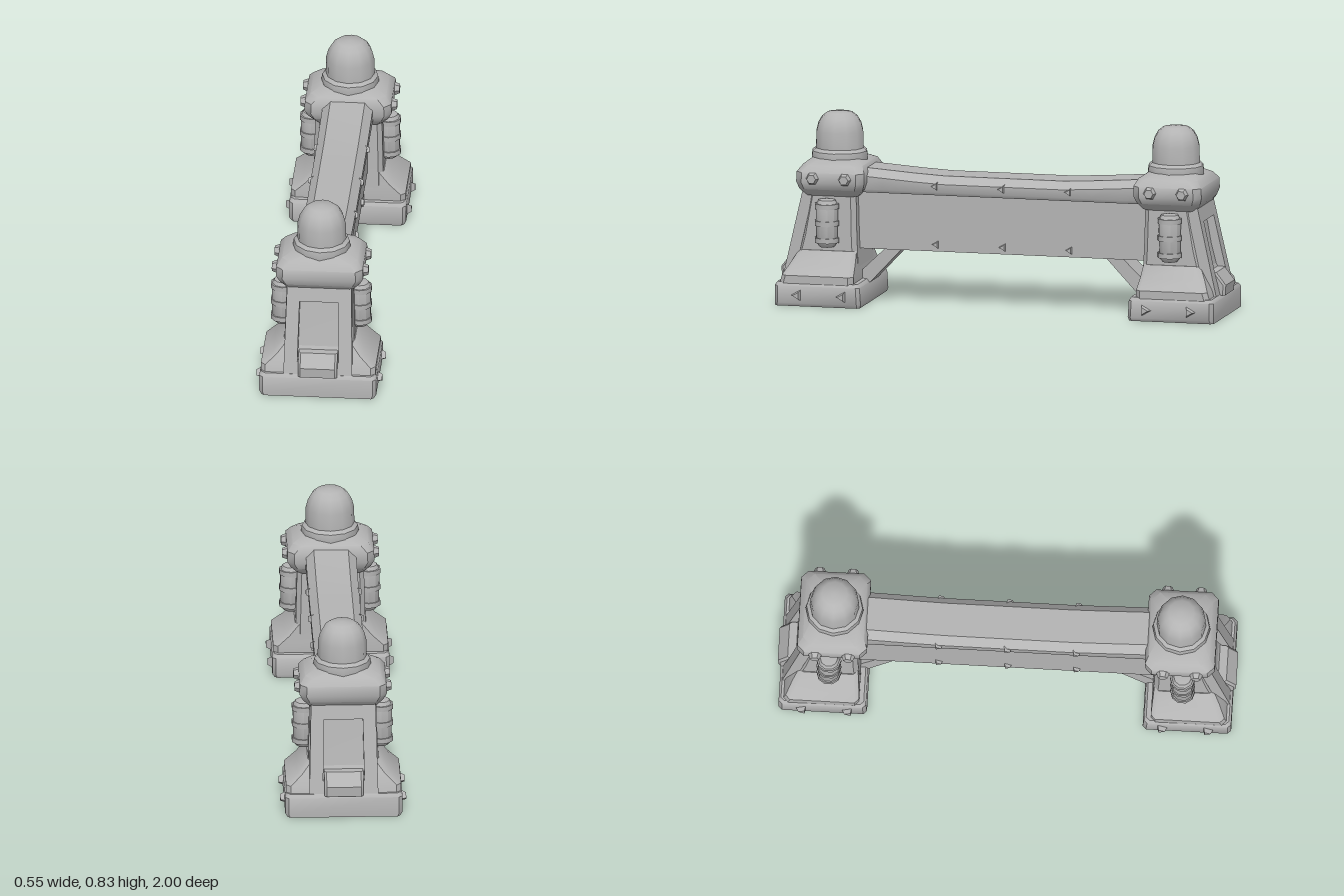
import * as THREE from 'three';
import { toCreasedNormals } from 'three/addons/utils/BufferGeometryUtils.js';

const stone = new THREE.MeshStandardMaterial({ color: 0xb4b4b4 });
stone.name = 'grey stone';

function part(name, geometry, parent, crease = 0.65) {
  const mesh = new THREE.Mesh(toCreasedNormals(geometry, crease), stone);
  mesh.name = name;
  parent.add(mesh);
  return mesh;
}

// Closed loft through chamfered rectangles: [y, half width, back z, front z, corner cut]
function loft(sections) {
  const pos = [];
  const rings = sections.map(([y, w, b, f, c]) => [
    [w, b + c], [w, f - c], [w - c, f], [c - w, f],
    [-w, f - c], [-w, b + c], [c - w, b], [w - c, b],
  ].map(([x, z]) => [x, y, z]));
  const tri = (...p) => p.forEach((v) => pos.push(...v));
  for (let i = 0; i < rings.length - 1; i++) {
    for (let j = 0; j < 8; j++) {
      const k = (j + 1) % 8, lo = rings[i], hi = rings[i + 1];
      tri(lo[j], hi[j], lo[k]);
      tri(lo[k], hi[j], hi[k]);
    }
  }
  const end = rings[rings.length - 1];
  for (let j = 1; j < 7; j++) {
    tri(end[0], end[j + 1], end[j]);
    tri(rings[0][0], rings[0][j], rings[0][j + 1]);
  }
  const g = new THREE.BufferGeometry();
  g.setAttribute('position', new THREE.Float32BufferAttribute(pos, 3));
  return g;
}

// Small faceted stud pointing sideways
function stud(parent, x, y, z, r = 0.025, depth = 0.03, sides = 3) {
  const m = part('stud', new THREE.CylinderGeometry(r * 0.6, r, depth, sides), parent, 0.2);
  m.rotation.z = -Math.sign(x) * Math.PI / 2;
  m.position.set(x, y, z);
}

function polygon(points) {
  return new THREE.Shape(points.map(([x, y]) => new THREE.Vector2(x, y)));
}

function createPost() {
  const post = new THREE.Group();
  post.name = 'endPost';

  part('base', loft([
    [0, 0.245, 0.605, 0.985, 0.012], [0.015, 0.255, 0.6, 0.985, 0.015],
    [0.09, 0.255, 0.605, 0.985, 0.015], [0.105, 0.245, 0.615, 0.975, 0.015],
  ]), post);
  part('flaredFoot', loft([
    [0.1, 0.25, 0.635, 0.965, 0.02], [0.135, 0.25, 0.635, 0.955, 0.02],
    [0.18, 0.2, 0.64, 0.93, 0.02], [0.235, 0.155, 0.645, 0.9, 0.02],
  ]), post);
  part('column', loft([
    [0.1, 0.155, 0.635, 0.94, 0.02], [0.3, 0.15, 0.645, 0.89, 0.02],
    [0.5, 0.145, 0.65, 0.855, 0.02],
  ]), post);

  // Sloping frame around the recessed outer panel
  const frame = polygon([[-0.15, 0.1], [0.15, 0.1], [0.14, 0.5], [-0.14, 0.5]]);
  frame.holes.push(polygon([[-0.09, 0.16], [-0.085, 0.425], [0.085, 0.425], [0.09, 0.16]]));
  const frameGeo = new THREE.ExtrudeGeometry(frame, { depth: 0.05, bevelEnabled: false });
  const p = frameGeo.attributes.position;
  for (let i = 0; i < p.count; i++) {
    p.setZ(i, p.getZ(i) + 0.925 - 0.225 * (p.getY(i) - 0.1));
  }
  part('panelFrame', frameGeo, post);
  part('panelSill', loft([
    [0.1, 0.085, 0.88, 0.995, 0.01], [0.145, 0.085, 0.88, 0.998, 0.01],
    [0.2, 0.085, 0.88, 0.955, 0.01],
  ]), post);

  part('cap', loft([
    [0.475, 0.15, 0.64, 0.88, 0.025], [0.505, 0.175, 0.615, 0.9, 0.03],
    [0.535, 0.19, 0.605, 0.91, 0.03], [0.58, 0.188, 0.605, 0.908, 0.03],
    [0.61, 0.165, 0.62, 0.885, 0.035], [0.63, 0.12, 0.65, 0.86, 0.045],
  ]), post);

  // Collar and domed finial
  const profile = [[0, 0.6], [0.12, 0.6], [0.126, 0.63], [0.122, 0.655], [0.107, 0.668],
    [0.105, 0.74], [0.096, 0.775], [0.08, 0.803], [0.056, 0.822], [0, 0.827]];
  part('finial', new THREE.LatheGeometry(
    profile.map(([x, y]) => new THREE.Vector2(x, y)), 12), post).position.z = 0.755;

  for (const s of [-1, 1]) {
    // Side canister with bands
    const can = new THREE.Group();
    can.name = 'sideCanister';
    can.position.set(s * 0.168, 0.36, 0.77);
    post.add(can);
    part('canisterBody', new THREE.LatheGeometry([[0, -0.11], [0.032, -0.105], [0.048, -0.085],
      [0.05, 0.08], [0.038, 0.102], [0, 0.108]].map(([x, y]) => new THREE.Vector2(x, y)), 10), can);
    for (const y of [-0.075, 0, 0.075]) {
      part('canisterBand', new THREE.CylinderGeometry(0.054, 0.054, 0.022, 10), can)
        .position.y = y;
    }
    stud(post, s * 0.193, 0.555, 0.685, 0.034, 0.035, 6);
    stud(post, s * 0.193, 0.555, 0.83, 0.034, 0.035, 6);
    for (const z of [0.68, 0.88]) stud(post, s * 0.262, 0.05, z, 0.03, 0.024);
  }

  // Diagonal brace running from the base to the beam
  const brace = polygon([[0.645, 0.08], [0.6, 0.09], [0.455, 0.245], [0.53, 0.245], [0.645, 0.135]]);
  const braceGeo = new THREE.ExtrudeGeometry(brace, { depth: 0.14, bevelEnabled: false });
  braceGeo.translate(0, 0, -0.07).rotateY(-Math.PI / 2);
  part('brace', braceGeo, post);
  return post;
}

export function createModel() {
  const model = new THREE.Group();
  model.name = 'barrier';

  // Matching posts at both ends
  for (const turn of [0, Math.PI]) {
    const post = createPost();
    post.rotation.y = turn;
    model.add(post);
  }

  // Wall panel
  const wall = new THREE.BoxGeometry(0.17, 0.27, 1.34);
  part('wallPanel', wall, model).position.y = 0.375;

  // Chamfered top rail that rises gently toward the posts
  const rail = polygon([[-0.1, 0.49], [0.1, 0.49], [0.11, 0.505], [0.11, 0.54],
    [0.075, 0.573], [-0.075, 0.573], [-0.11, 0.54], [-0.11, 0.505]]);
  const railGeo = new THREE.ExtrudeGeometry(rail, { depth: 1.34, steps: 10, bevelEnabled: false });
  railGeo.translate(0, 0, -0.67);
  const p = railGeo.attributes.position;
  for (let i = 0; i < p.count; i++) {
    const rise = Math.max(0, Math.abs(p.getZ(i)) - 0.3) * 0.07;
    if (p.getY(i) > 0.53) p.setY(i, p.getY(i) + rise);
  }
  part('topRail', railGeo, model);

  // Studs along rail and wall
  for (const s of [-1, 1]) {
    for (const z of [-0.3, 0, 0.3]) {
      stud(model, s * 0.11, 0.53, z, 0.024, 0.022);
      stud(model, s * 0.087, 0.27, z, 0.024, 0.022);
    }
  }
  return model;
}
